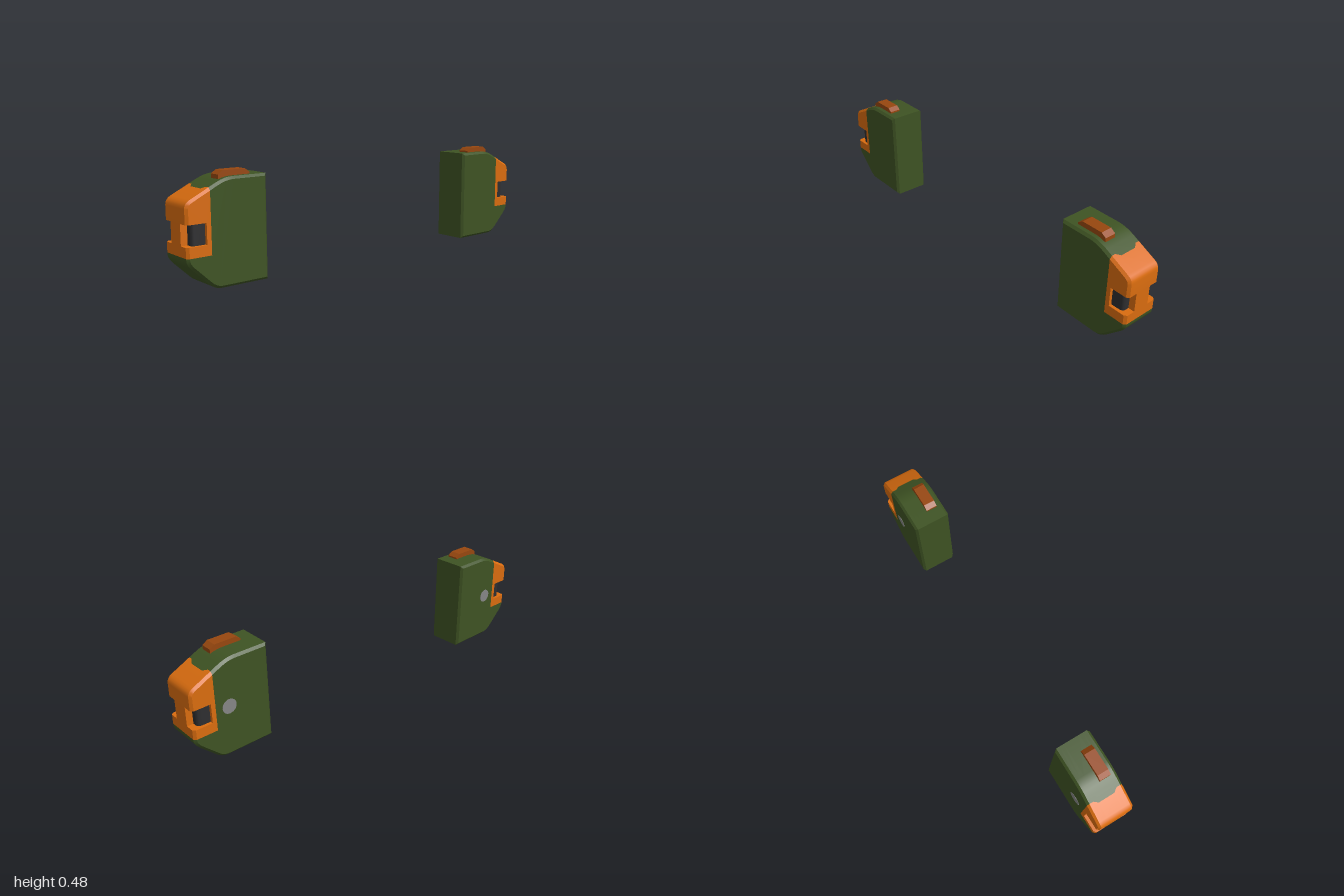
import * as THREE from 'three';
import { toCreasedNormals } from 'three/addons/utils/BufferGeometryUtils.js';

const V = (x, y) => new THREE.Vector2(x, y);
const arc = (a, c, b) => new THREE.QuadraticBezierCurve(V(...a), V(...c), V(...b)).getPoints(4);

// Side outline of one pod, counter-clockwise, in three runs
const runs = [
  [V(0.62, 0), ...arc([0.845, 0], [0.876, 0], [0.905, 0.028]), ...arc([0.975, 0.095], [1, 0.119], [1, 0.14])],
  arc([1, 0.343], [1, 0.366], [0.975, 0.378]),
  [...arc([0.86, 0.435], [0.818, 0.456], [0.78, 0.456]), V(0.62, 0.456)],
];

// Outline moved inward by d, keeping the same runs
function inset(d) {
  const pts = runs.flat(), n = pts.length;
  const moved = pts.map((p, i) => {
    const a = p.clone().sub(pts[(i + n - 1) % n]).normalize();
    const b = pts[(i + 1) % n].clone().sub(p).normalize();
    const n1 = V(-a.y, a.x), n2 = V(-b.y, b.x);
    const m = n1.clone().add(n2).normalize();
    return p.clone().addScaledVector(m, d / m.dot(n1));
  });
  let k = 0;
  return runs.map((r) => moved.slice(k, (k += r.length)));
}

// Where the sloped shoulder crosses x = c
function shoulder([, nose, roof], c) {
  const a = nose[nose.length - 1], b = roof[0];
  return V(c, a.y + ((b.y - a.y) * (c - a.x)) / (b.x - a.x));
}

// Bumper's lower edge, and the notch's bottom, top and depth
const LOW = 0.145, N0 = 0.19, N1 = 0.28, NX = 0.91;

function shellRing(d, cut) {
  const o = inset(d);
  return [...o[0], V(1 - d, LOW), V(cut, LOW), shoulder(o, cut), ...o[2]];
}

function bumperRing(d, cut, notched) {
  const o = inset(d), X = 1 - d, x = notched ? NX : X;
  return [V(cut, LOW), V(X, LOW), V(X, N0), V(x, N0), V(x, N1), V(X, N1), ...o[1], shoulder(o, cut)];
}

// Skin between rings [z, points], with end caps
function loft(rings) {
  const pos = [], n = rings[0][1].length, last = rings.length - 1;
  const tri = (...t) => {
    const p = t.map(([r, i]) => new THREE.Vector3(rings[r][1][i].x, rings[r][1][i].y, rings[r][0]));
    if (new THREE.Triangle(...p).getArea() > 1e-9) p.forEach((v) => pos.push(v.x, v.y, v.z));
  };
  for (let r = 0; r < last; r++) {
    for (let i = 0; i < n; i++) {
      const j = (i + 1) % n;
      tri([r, i], [r, j], [r + 1, j]);
      tri([r, i], [r + 1, j], [r + 1, i]);
    }
  }
  for (const [a, b, c] of THREE.ShapeUtils.triangulateShape(rings[last][1], [])) tri([last, a], [last, b], [last, c]);
  for (const [a, b, c] of THREE.ShapeUtils.triangulateShape(rings[0][1], [])) tri([0, a], [0, c], [0, b]);
  const g = new THREE.BufferGeometry();
  g.setAttribute('position', new THREE.Float32BufferAttribute(pos, 3));
  return toCreasedNormals(g, 0.5);
}

// Flip in x and restore the corner order
function mirrorX(geometry) {
  const g = geometry.index ? geometry.toNonIndexed() : geometry.clone();
  g.scale(-1, 1, 1);
  for (const name of ['position', 'normal']) {
    const a = g.attributes[name];
    for (let i = 0; i < a.count; i += 3) {
      const p = new THREE.Vector3().fromBufferAttribute(a, i + 1);
      const q = new THREE.Vector3().fromBufferAttribute(a, i + 2);
      a.setXYZ(i + 1, q.x, q.y, q.z);
      a.setXYZ(i + 2, p.x, p.y, p.z);
    }
  }
  return g;
}

// Dark insert with a rounded outer corner, standing in a notch
function insertGeometry() {
  const s = new THREE.Shape();
  s.moveTo(0.9, -0.075);
  s.lineTo(0.945, -0.075);
  s.quadraticCurveTo(0.969, -0.075, 0.97, -0.058);
  s.lineTo(0.97, -0.03);
  s.lineTo(0.9, -0.03);
  const g = new THREE.ExtrudeGeometry(s, { depth: N1 - N0, bevelEnabled: false, curveSegments: 6 });
  return toCreasedNormals(g.rotateX(-Math.PI / 2).translate(0, N0, 0), 0.5);
}

export function createModel() {
  const mat = (name, color) => {
    const m = new THREE.MeshStandardMaterial({ color });
    m.name = name;
    return m;
  };
  const green = mat('olive green', 0x3e5323);
  const orange = mat('orange', 0xd96c0f);
  const brown = mat('burnt orange', 0x97470f);
  const dark = mat('charcoal', 0x2e2e30);
  const grey = mat('grey', 0x858585);

  // Edge chamfers, and a colour border that bows outward in the middle
  const half = [[0.04, 0, 0.905], [0.06, 0, 0.89], [0.079, 0, 0.89], [0.09, 0.011, 0.89]];
  const both = [...half.map(([z, d, c]) => [-z, d, c]).reverse(), ...half];
  const shell = loft(both.map(([z, d, c]) => [z, shellRing(d, c)]));

  // The bumper is notched on both sides of a full middle rib
  const bumperRings = both.map(([z, d, c]) => [z, bumperRing(d, c, true)]);
  const rib = bumperRing(0, 0.905, false);
  bumperRings.splice(4, 0, [-0.04, rib], [0.04, rib]);
  const bumper = loft(bumperRings);

  const frontInsert = insertGeometry();
  const backInsert = mirrorX(frontInsert.clone().rotateY(Math.PI));

  // Top button with sloped ends
  const b = new THREE.Shape([V(0.685, 0.445), V(0.835, 0.445), V(0.835, 0.464), V(0.812, 0.48), V(0.708, 0.48), V(0.685, 0.464)]);
  const button = new THREE.ExtrudeGeometry(b, { depth: 0.055, bevelEnabled: false }).translate(0, 0, 0.005);

  // Round plate on the back
  const disc = new THREE.CylinderGeometry(0.034, 0.034, 0.003, 24).rotateX(Math.PI / 2).translate(0.825, 0.235, -0.09);

  const parts = [
    ['shell', shell, green],
    ['bumper', bumper, orange],
    ['frontInsert', frontInsert, dark],
    ['backInsert', backInsert, dark],
    ['topButton', button, brown],
    ['backDisc', disc, grey],
  ];

  const model = new THREE.Group();
  model.name = 'podPair';
  for (const side of ['left', 'right']) {
    const pod = new THREE.Group();
    pod.name = side + 'Pod';
    for (const [name, geometry, material] of parts) {
      const mesh = new THREE.Mesh(side === 'left' ? geometry : mirrorX(geometry), material);
      mesh.name = name;
      pod.add(mesh);
    }
    model.add(pod);
  }
  return model;
}
